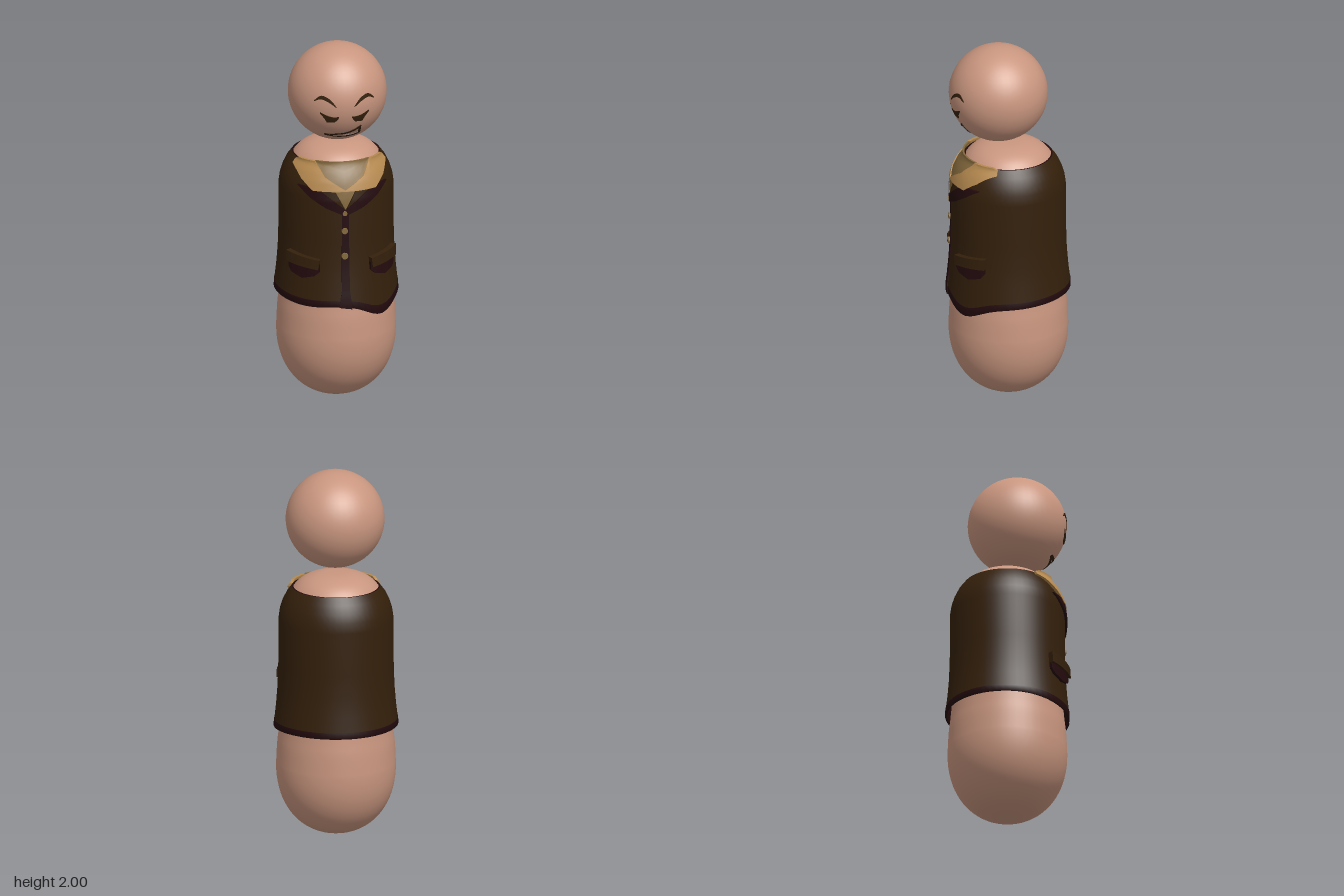
import * as THREE from 'three';

const mat = (name, color, side = THREE.FrontSide) => {
  const m = new THREE.MeshStandardMaterial({ color, side });
  m.name = name;
  return m;
};

// Outer jacket profile: [radius, height]
const COAT = [[0.334, 0.6], [0.331, 0.64], [0.322, 0.72], [0.314, 0.82], [0.31, 0.95], [0.31, 1.19],
  [0.302, 1.245], [0.288, 1.29], [0.266, 1.335], [0.237, 1.373]];

function coatRadius(y) {
  if (y <= COAT[0][1]) return COAT[0][0];
  for (let i = 1; i < COAT.length; i++) {
    const [r0, y0] = COAT[i - 1], [r1, y1] = COAT[i];
    if (y <= y1) return r0 + (r1 - r0) * (y - y0) / (y1 - y0);
  }
  return COAT[COAT.length - 1][0];
}

// Height of the wavy hem at an angle measured from the front towards +x
const bump = (t, c, w) => Math.exp(-(((t - c) / w) ** 2));
const hem = (t) => 0.608 - 0.08 * bump(t, 0.64, 0.42) - 0.014 * bump(t, 1.3, 0.7) - 0.022 * bump(t, -0.6, 0.7);

function waveHem(geo) {
  const p = geo.attributes.position;
  for (let i = 0; i < p.count; i++) {
    const y = p.getY(i);
    if (y < 0.8) p.setY(i, 0.8 - (0.8 - y) * (0.8 - hem(Math.atan2(p.getX(i), p.getZ(i)))) / 0.2);
  }
  geo.computeVertexNormals();
  return geo;
}

const lathe = (pts, seg = 56) => new THREE.LatheGeometry(pts.map(([r, y]) => new THREE.Vector2(Math.max(r, 0), y)), seg);

// Surfaces that plates are wrapped on
const onCoat = (x, y, d) => {
  const r = coatRadius(y), t = Math.asin(THREE.MathUtils.clamp(x / r, -1, 1));
  return [(r + d) * Math.sin(t), y, (r + d) * Math.cos(t)];
};
const onCoatAngle = (t, y, d) => {
  const r = coatRadius(y) + d;
  return [r * Math.sin(t), y, r * Math.cos(t)];
};
const HEAD = new THREE.Vector3(-0.002, 1.734, 0.054), HEAD_R = 0.266;
const onHead = (x, y, d) => {
  const v = new THREE.Vector3(x - HEAD.x, y - HEAD.y, 0);
  v.z = Math.sqrt(HEAD_R ** 2 - v.lengthSq());
  return v.setLength(HEAD_R + d).add(HEAD).toArray();
};

function along(pts, u, smooth) {
  if (smooth) return new THREE.SplineCurve(pts.map((p) => new THREE.Vector2(...p))).getPoint(u).toArray();
  const f = u * (pts.length - 1), i = Math.min(Math.floor(f), pts.length - 2), k = f - i;
  return [0, 1].map((j) => pts[i][j] + (pts[i + 1][j] - pts[i][j]) * k);
}

// Curved plate between a lower and an upper edge, both running towards +x
function plate(lower, upper, surface, from, to, smooth = false) {
  const geo = new THREE.BoxGeometry(1, 1, 1, 12, 6, 1), p = geo.attributes.position;
  for (let i = 0; i < p.count; i++) {
    const u = p.getX(i) + 0.5, v = p.getY(i) + 0.5, w = p.getZ(i) + 0.5;
    const a = along(lower, u, smooth), b = along(upper, u, smooth);
    p.setXYZ(i, ...surface(a[0] + (b[0] - a[0]) * v, a[1] + (b[1] - a[1]) * v, from + (to - from) * w));
  }
  geo.computeVertexNormals();
  return geo;
}

const mirror = (pts, s) => (s > 0 ? pts : pts.map(([x, y]) => [-x, y]).reverse());

export function createModel() {
  const group = new THREE.Group();
  const skin = mat('skin', 0xc9967f);
  const brown = mat('jacketBrown', 0x34200b);
  const trim = mat('darkTrim', 0x230a0d, THREE.DoubleSide);
  const tan = mat('collarTan', 0xb5894f);
  const olive = mat('shirtOlive', 0x84693d);
  const add = (name, geo, m) => {
    const mesh = new THREE.Mesh(geo, m);
    mesh.name = name;
    group.add(mesh);
    return mesh;
  };

  // Body: full rounded base below a slightly tapering trunk and domed top
  const body = [];
  for (let i = 0; i <= 20; i++) {
    const a = (i / 20) * Math.PI / 2;
    body.push([0.322 * Math.sin(a) ** 0.92, 0.38 * (1 - Math.cos(a) ** 0.92)]);
  }
  const trunk = [[0.322, 0.38], [0.316, 0.5], [0.305, 0.6], [0.29, 0.8], [0.286, 1.18], [0.262, 1.3],
    [0.226, 1.372], [0.17, 1.42], [0.09, 1.446], [0, 1.45]];
  const curve = new THREE.SplineCurve(trunk.map((p) => new THREE.Vector2(...p)));
  body.push(...curve.getPoints(40).slice(1).map((v) => [v.x, v.y]));
  add('body', lathe(body), skin);

  // Floating head
  add('head', new THREE.SphereGeometry(HEAD_R, 48, 32), skin).position.copy(HEAD);

  // Jacket shell, lining, neck rim and hem band
  add('jacket', waveHem(lathe(COAT)), brown);
  add('lining', waveHem(lathe(COAT.map(([r, y]) => [r - 0.008, y]))), trim);
  add('neckRim', lathe([[0.237, 1.373], [0.229, 1.373]]), trim);
  add('hemBand', waveHem(lathe([[0.324, 0.6], [0.335, 0.6], [0.334, 0.634], [0.33, 0.636]])), trim);

  // Front placket and buttons
  add('placket', plate([[-0.037, 0.59], [0.035, 0.578]], [[-0.022, 0.68], [0.022, 0.68]], onCoat, 0, 0.005), trim);
  add('placket', plate([[-0.022, 0.68], [0.022, 0.68]], [[-0.018, 1.14], [0.018, 1.14]], onCoat, 0, 0.005), trim);
  for (const [y, r] of [[1.12, 0.014], [1.02, 0.018], [0.878, 0.019]]) {
    const button = add('button', new THREE.CylinderGeometry(r * 0.9, r, 0.012, 12), olive);
    button.rotation.x = Math.PI / 2;
    button.position.set(-0.004, y, coatRadius(y) + 0.008);
  }

  // Shirt showing in the neck opening
  add('shirt', plate([[-0.14, 1.38], [-0.1, 1.315], [0, 1.245], [0.1, 1.315], [0.14, 1.38]],
    [[-0.14, 1.39], [-0.07, 1.39], [0, 1.39], [0.07, 1.39], [0.14, 1.39]], onCoat, 0, 0.01), olive);
  add('shirtPoint', plate([[-0.06, 1.255], [0, 1.14], [0.06, 1.255]],
    [[-0.06, 1.256], [0, 1.256], [0.06, 1.256]], onCoat, 0, 0.006), olive);

  for (const s of [1, -1]) {
    const pair = (name, lower, upper, surface, from, to, m, smooth) =>
      add(name, plate(mirror(lower, s), mirror(upper, s), surface, from, to, smooth), m);

    // Collar and lapels
    pair('collar', [[0, 1.243], [0.165, 1.243], [0.212, 1.295], [0.238, 1.35]],
      [[0, 1.25], [0.1, 1.315], [0.14, 1.388], [0.212, 1.386]], onCoat, 0, 0.016, tan);
    pair('lapel', [[0.01, 1.11], [0.1, 1.15], [0.175, 1.2], [0.235, 1.258]],
      [[0.01, 1.15], [0.06, 1.19], [0.11, 1.23], [0.15, 1.258]], onCoat, 0, 0.012, trim);
    pair('innerLapel', [[0.01, 1.14], [0.06, 1.18], [0.15, 1.25]],
      [[0.01, 1.152], [0.035, 1.2], [0.06, 1.256]], onCoat, 0, 0.009, brown);

    // Pocket pouch and overhanging flap, placed by angle
    pair('pocket', [[0.44, 0.785], [0.52, 0.762], [0.74, 0.742], [0.97, 0.763], [1.04, 0.79]],
      [[0.44, 0.85], [0.6, 0.852], [0.74, 0.855], [0.9, 0.86], [1.04, 0.865]], onCoatAngle, 0, 0.016, trim);
    pair('pocketFlap', [[0.45, 0.803], [1.05, 0.82]], [[0.43, 0.855], [1.06, 0.88]], onCoatAngle, 0, 0.031, brown);

    // Brow and eye
    pair('eyebrow', [[0.048, 1.724], [0.085, 1.752], [0.127, 1.769], [0.162, 1.753]],
      [[0.05, 1.73], [0.083, 1.77], [0.127, 1.788], [0.163, 1.757]], onHead, -0.002, 0.003, brown, true);
    pair('eye', [[0.035, 1.663], [0.055, 1.637], [0.095, 1.634], [0.11, 1.66], [0.132, 1.687]],
      [[0.036, 1.67], [0.06, 1.667], [0.085, 1.672], [0.11, 1.682], [0.133, 1.694]], onHead, -0.002, 0.003, brown);
  }

  // Crooked grin drawn as an outline
  add('mouthTop', plate([[-0.1, 1.542], [0, 1.551], [0.05, 1.566], [0.092, 1.592]],
    [[-0.1, 1.55], [0, 1.562], [0.05, 1.578], [0.092, 1.605]], onHead, -0.002, 0.003, true), brown);
  add('mouthBottom', plate([[-0.1, 1.542], [-0.03, 1.529], [0.04, 1.531], [0.092, 1.545]],
    [[-0.1, 1.55], [-0.03, 1.54], [0.04, 1.542], [0.092, 1.557]], onHead, -0.002, 0.003, true), brown);
  add('mouthCorner', plate([[0.081, 1.547], [0.093, 1.549]], [[0.081, 1.596], [0.093, 1.603]], onHead, -0.002, 0.003), brown);

  return group;
}
